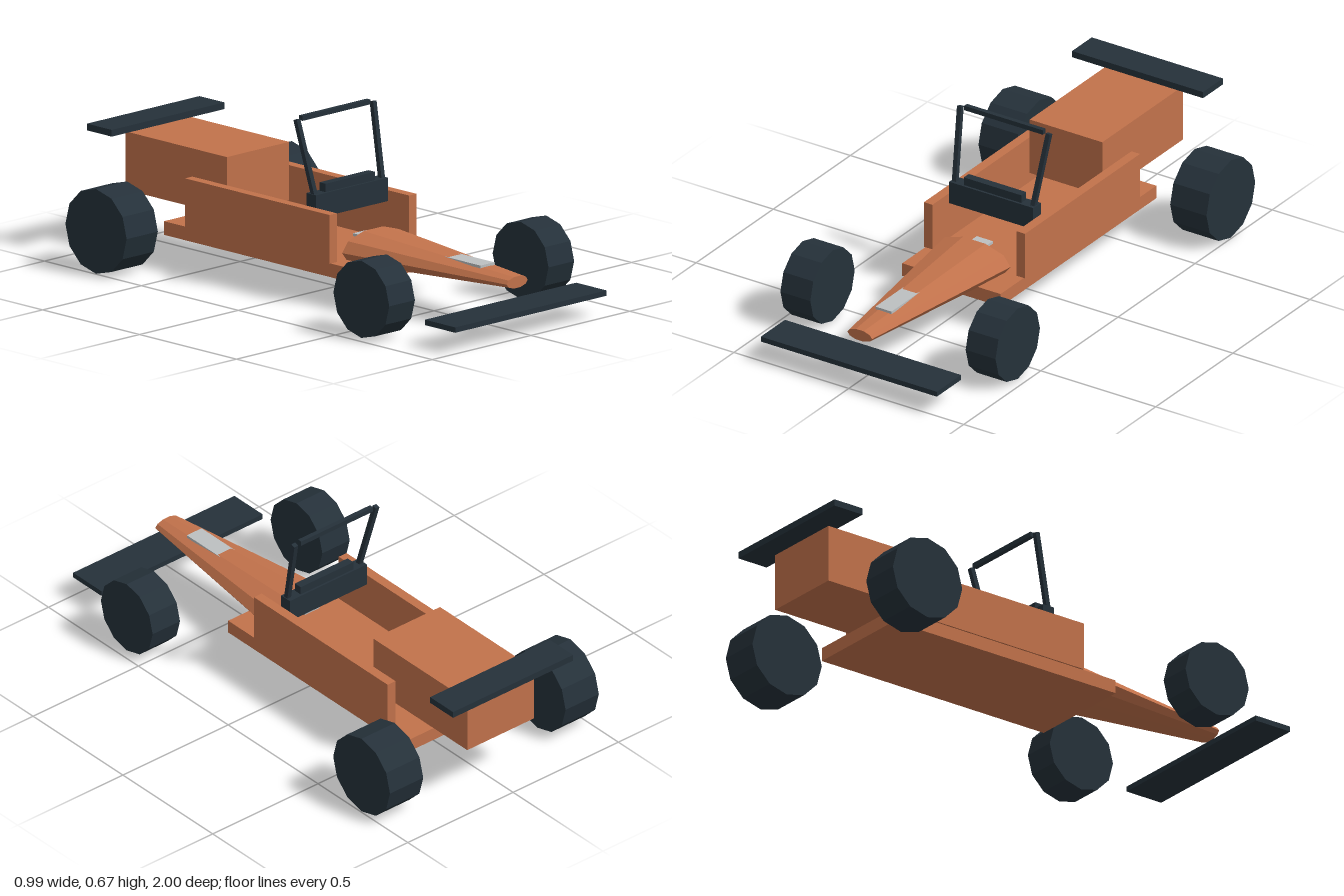
import * as THREE from 'three';

const orange = new THREE.MeshStandardMaterial({ color: 0xc2724b, flatShading: true });
orange.name = 'orange body';
const dark = new THREE.MeshStandardMaterial({ color: 0x25313a, flatShading: true });
dark.name = 'dark slate';
const silver = new THREE.MeshStandardMaterial({ color: 0xbcbfc0, flatShading: true });
silver.name = 'silver';

export function createModel() {
  const car = new THREE.Group();
  car.name = 'racingCar';

  const add = (name, geometry, material) => {
    const mesh = new THREE.Mesh(geometry, material);
    mesh.name = name;
    car.add(mesh);
    return mesh;
  };
  // Box given by its extents along each axis
  const box = (name, material, [x0, x1], [y0, y1], [z0, z1]) => {
    const mesh = add(name, new THREE.BoxGeometry(x1 - x0, y1 - y0, z1 - z0), material);
    mesh.position.set((x0 + x1) / 2, (y0 + y1) / 2, (z0 + z1) / 2);
    return mesh;
  };

  // Body tub and engine cover
  box('floor', orange, [-0.214, 0.214], [0.107, 0.158], [-0.675, 0.335]);
  box('engineCover', orange, [-0.158, 0.158], [0.218, 0.436], [-0.93, -0.408]);

  // Tapered ten-sided nose, vertices on its left and right
  const noseGeometry = new THREE.CylinderGeometry(0.0535, 0.158, 0.742, 10);
  noseGeometry.rotateY(Math.PI / 2).rotateX(Math.PI / 2).scale(1, 0.42, 1);
  add('nose', noseGeometry, orange).position.set(0, 0.187, 0.558);

  // Long plate running through the nose
  box('nosePlate', silver, [-0.035, 0.035], [0.216, 0.2265], [0.118, 0.775]);

  // Wings
  box('frontWing', dark, [-0.383, 0.383], [0.08, 0.1], [0.843, 1]);
  box('rearWing', dark, [-0.285, 0.285], [0.45, 0.475], [-1, -0.872]);

  // Dashboard
  box('dashboard', dark, [-0.183, 0.183], [0.3, 0.387], [0.028, 0.077]);
  box('dashboardTop', dark, [-0.125, 0.125], [0.387, 0.418], [0.036, 0.068]);

  // Windscreen frame
  box('frameTopBar', dark, [-0.171, 0.171], [0.648, 0.666], [-0.021, -0.003]);

  for (const side of [-1, 1]) {
    const prefix = side > 0 ? 'left' : 'right';
    const span = (a, b) => (side > 0 ? [a, b] : [-b, -a]);
    box(prefix + 'SidePanel', orange, span(0.183, 0.22), [0.158, 0.34], [-0.56, 0.185]);

    // Leaning frame post
    const foot = new THREE.Vector3(side * 0.17, 0.38, 0.057);
    const head = new THREE.Vector3(side * 0.193, 0.656, -0.011);
    const post = add(prefix + 'FramePost',
      new THREE.BoxGeometry(0.018, foot.distanceTo(head), 0.018), dark);
    post.position.copy(foot).add(head).multiplyScalar(0.5);
    post.quaternion.setFromUnitVectors(new THREE.Vector3(0, 1, 0), head.clone().sub(foot).normalize());

    // Twelve-sided wheels: name, radius, outer x, centre y, centre z
    for (const [name, r, outer, y, z] of [
      ['FrontWheel', 0.144, 0.468, 0.147, 0.602],
      ['RearWheel', 0.158, 0.496, 0.159, -0.738],
    ]) {
      const inner = 0.338;
      const geometry = new THREE.CylinderGeometry(r, r, outer - inner, 12).rotateZ(Math.PI / 2);
      add(prefix + name, geometry, dark).position.set(side * (inner + outer) / 2, y, z);
    }
  }
  return car;
}
